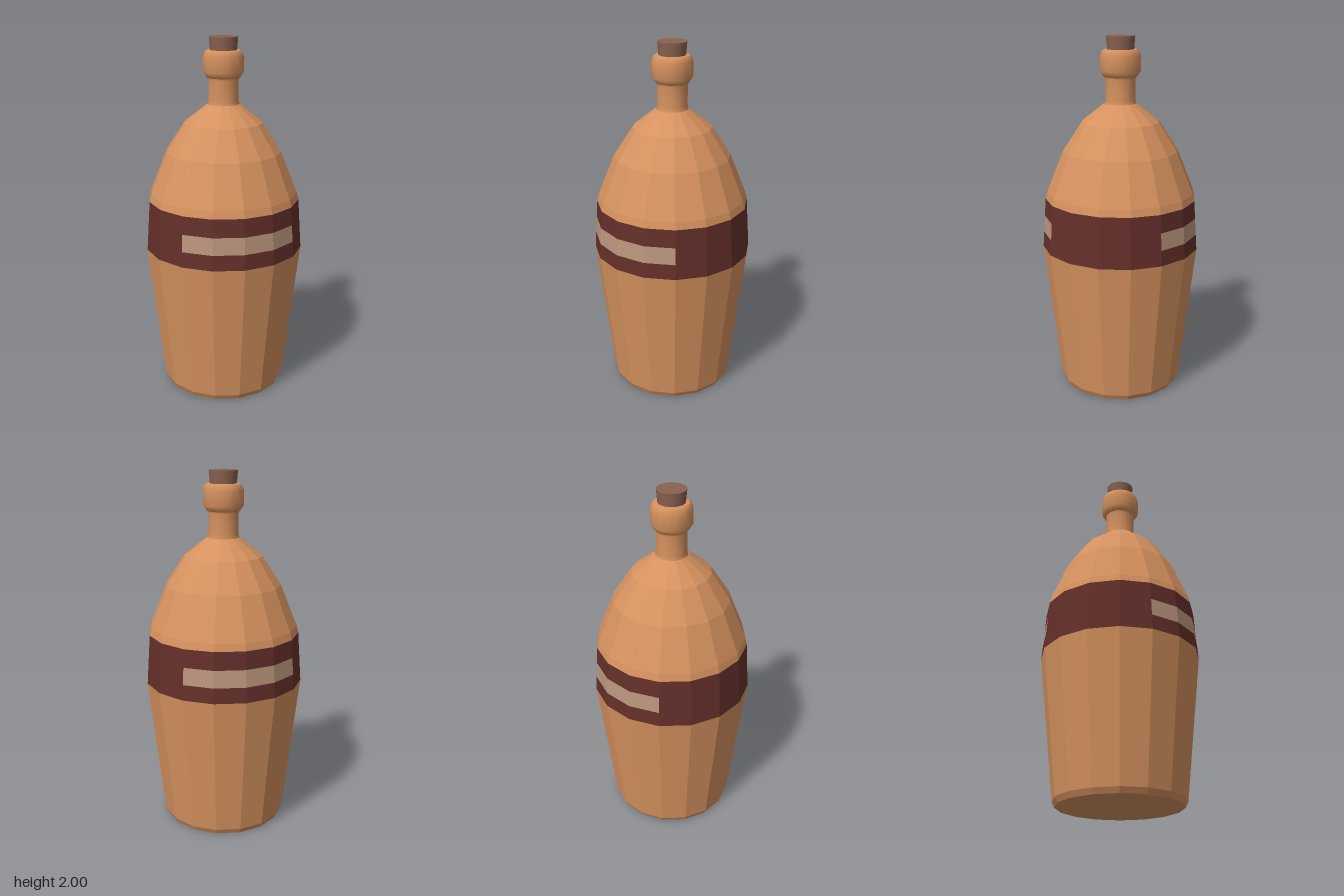
import * as THREE from 'three';

const SIDES = 16;
const BAND = { y0: 0.83, r0: 0.445, y1: 1.11, r1: 0.425 };

const material = (color, flatShading = true) =>
  new THREE.MeshStandardMaterial({ color, flatShading, roughness: 0.8 });

// Profile is a list of [radius, height], from bottom to top
function lathe(name, profile, mat, segments = SIDES, start = 0, length = Math.PI * 2) {
  const points = profile.map(([r, y]) => new THREE.Vector2(r, y));
  const mesh = new THREE.Mesh(new THREE.LatheGeometry(points, segments, start, length), mat);
  mesh.name = name;
  return mesh;
}

// Point on the tapering band at a given height
function bandPoint(y) {
  const t = (y - BAND.y0) / (BAND.y1 - BAND.y0);
  return [BAND.r0 + (BAND.r1 - BAND.r0) * t, y];
}

export function createModel() {
  const model = new THREE.Group();
  model.name = 'bottle';
  const clay = material(0xd6925f);
  const clayNeck = material(0xd6925f, false);
  const bandMat = material(0x642f2a);
  const labelMat = material(0xbb967c);
  const corkMat = material(0x8a6150, false);

  // Faceted body below and above the band
  model.add(lathe('lowerBody', [[0, 0], [0.34, 0], [0.355, 0.03], bandPoint(BAND.y0)], clay));
  model.add(lathe('shoulder', [
    bandPoint(BAND.y1), [0.415, 1.15], [0.322, 1.38], [0.217, 1.54], [0.09, 1.64], [0.07, 1.645],
  ], clay));

  // Painted band with a pale label, front and back
  const band = new THREE.Group();
  band.name = 'band';
  const [low, high] = [0.915, 1.01];
  band.add(lathe('bandLower', [bandPoint(BAND.y0), bandPoint(low)], bandMat));
  band.add(lathe('bandUpper', [bandPoint(high), bandPoint(BAND.y1)], bandMat));
  const names = ['frontLabel', 'leftBand', 'backLabel', 'rightBand'];
  names.forEach((name, i) => {
    const start = -Math.PI / 4 + i * Math.PI / 2;
    band.add(lathe(name, [bandPoint(low), bandPoint(high)],
      i % 2 ? bandMat : labelMat, SIDES / 4, start, Math.PI / 2));
  });
  model.add(band);

  // Neck and rounded lip
  model.add(lathe('neck', [[0.09, 1.635], [0.083, 1.66], [0.083, 1.77], [0.09, 1.79]], clayNeck));
  model.add(lathe('lip', [
    [0.078, 1.78], [0.092, 1.785], [0.112, 1.815], [0.112, 1.895], [0.1, 1.925], [0.09, 1.93], [0.06, 1.93],
  ], clayNeck));

  // Tapered cork
  const cork = new THREE.Mesh(new THREE.CylinderGeometry(0.079, 0.069, 0.12, 32), corkMat);
  cork.name = 'cork';
  cork.position.y = 1.94;
  model.add(cork);

  return model;
}
